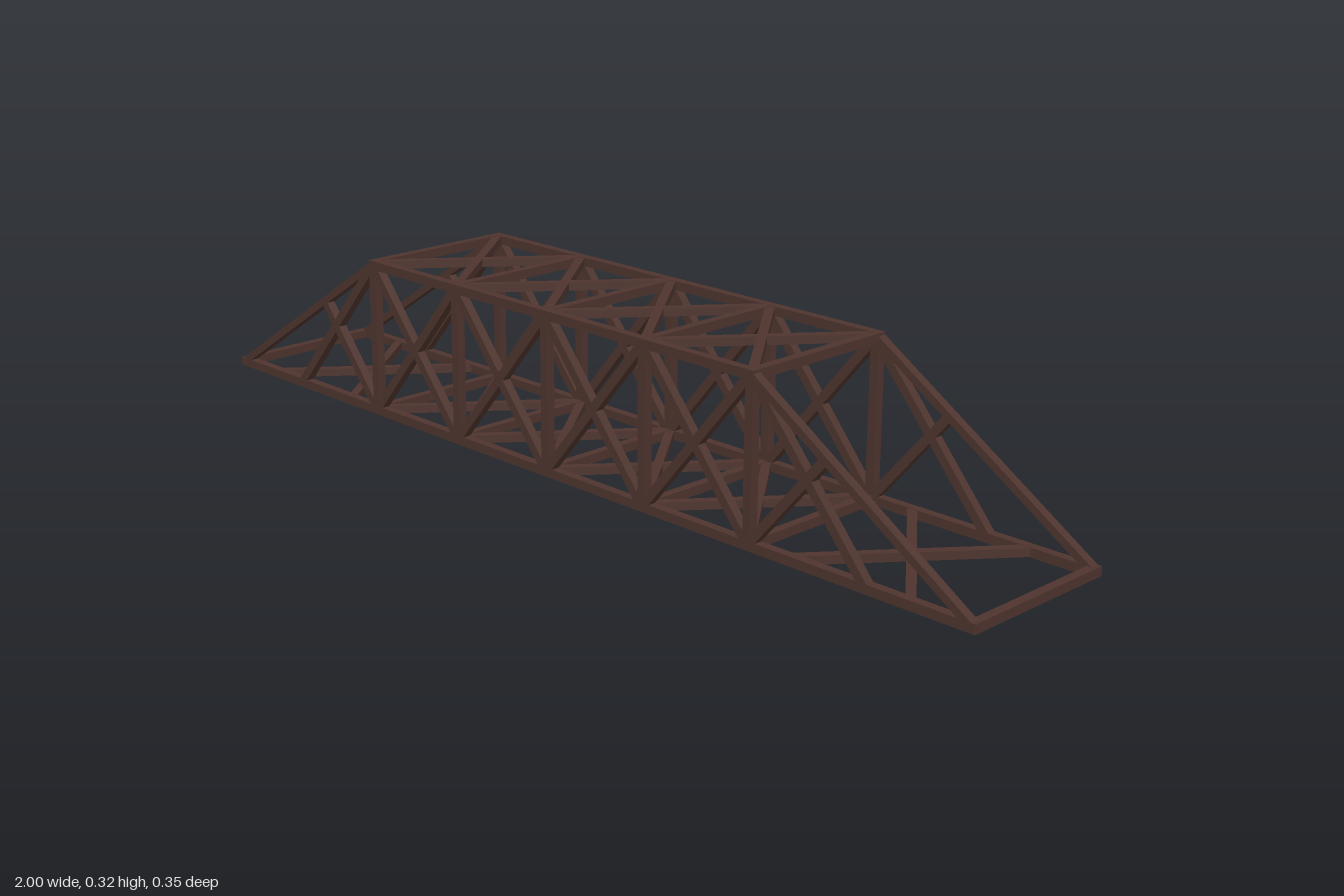
import * as THREE from 'three';

const HALF_WIDTH = 0.1635; // truss centre line in z
const LOW = 0.009;         // lower chord centre line
const HIGH = 0.315;        // upper chord centre line
const NODES = [-0.515, -0.258, 0, 0.258, 0.515];
const END = 0.991;
const T = 0.018;           // beam thickness

export function createModel() {
  const wood = new THREE.MeshStandardMaterial({ color: 0x4e342e });
  wood.name = 'dark brown timber';
  const model = new THREE.Group();
  model.name = 'trussBridge';

  // Square beam between two points
  function beam(parent, name, a, b, height = T, width = T) {
    const from = new THREE.Vector3(...a);
    const to = new THREE.Vector3(...b);
    const mesh = new THREE.Mesh(new THREE.BoxGeometry(width, height, from.distanceTo(to)), wood);
    mesh.name = name;
    mesh.position.copy(from).add(to).multiplyScalar(0.5);
    mesh.lookAt(to);
    parent.add(mesh);
  }

  // Two side trusses
  for (const side of [-1, 1]) {
    const truss = new THREE.Group();
    truss.name = side > 0 ? 'frontTruss' : 'backTruss';
    model.add(truss);
    const z = side * HALF_WIDTH;
    beam(truss, 'lowerChord', [-1, LOW, z], [1, LOW, z]);
    beam(truss, 'upperChord', [-0.524, HIGH, z], [0.524, HIGH, z]);
    NODES.forEach((x, i) => {
      beam(truss, 'post', [x, LOW, z], [x, HIGH, z]);
      if (i === 0) return;
      beam(truss, 'diagonal', [NODES[i - 1], LOW, z], [x, HIGH, z]);
      beam(truss, 'diagonal', [NODES[i - 1], HIGH, z], [x, LOW, z]);
    });
    // Sloping end posts with their partial cross bracing
    for (const s of [-1, 1]) {
      beam(truss, 'endPost', [s * 0.992, LOW, z], [s * 0.515, HIGH, z], 0.015);
      beam(truss, 'endDiagonal', [s * 0.777, LOW, z], [s * 0.515, HIGH, z]);
      beam(truss, 'endDiagonalShort', [s * 0.515, LOW, z], [s * 0.684, 0.207, z]);
    }
  }

  // Horizontal cross between two stations
  function cross(parent, name, x0, x1, y) {
    for (const s of [-1, 1]) {
      beam(parent, name, [x0, y, -s * HALF_WIDTH], [x1, y, s * HALF_WIDTH], 0.016);
    }
  }

  // Floor and roof bracing
  for (const [label, y] of [['floor', LOW], ['roof', HIGH]]) {
    const bracing = new THREE.Group();
    bracing.name = label + 'Bracing';
    model.add(bracing);
    NODES.forEach((x, i) => {
      beam(bracing, label + 'CrossBeam', [x, y, -HALF_WIDTH], [x, y, HALF_WIDTH]);
      if (i > 0) cross(bracing, label + 'Diagonal', NODES[i - 1], x, y);
    });
    if (label === 'floor') {
      for (const s of [-1, 1]) {
        beam(bracing, 'endCrossBeam', [s * END, y, -HALF_WIDTH - T / 2], [s * END, y, HALF_WIDTH + T / 2]);
        cross(bracing, 'endFloorDiagonal', s * 0.608, s * 0.866, y);
      }
    }
  }
  return model;
}
